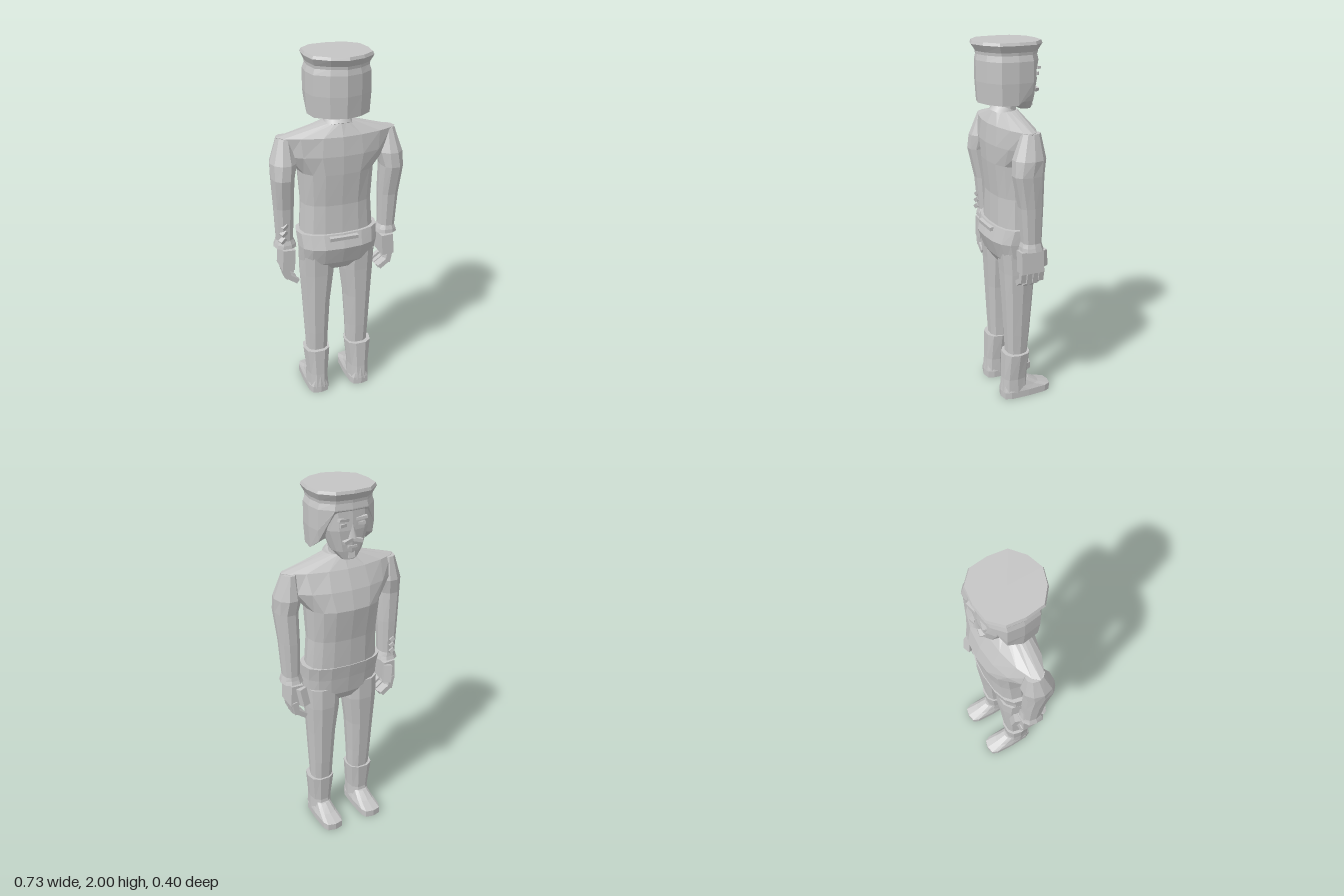
import * as THREE from 'three';

const grey = new THREE.MeshStandardMaterial({ color: 0xc4c4c4 });
grey.name = 'plain grey';

// Closed faceted skin through rings of [x, y, z] points, listed from bottom to top
function skin(rings) {
  const pos = [];
  const tri = (...pts) => pts.forEach(p => pos.push(...p));
  const n = rings[0].length;
  const middle = ring => [0, 1, 2].map(k => ring.reduce((s, p) => s + p[k], 0) / n);
  for (let i = 0; i < n; i++) {
    const k = (i + 1) % n;
    for (let j = 0; j < rings.length - 1; j++) {
      const a = rings[j][i], b = rings[j][k], c = rings[j + 1][k], d = rings[j + 1][i];
      tri(a, d, b);
      tri(b, d, c);
    }
    const low = rings[0], top = rings[rings.length - 1];
    tri(middle(low), low[i], low[k]);
    tri(middle(top), top[k], top[i]);
  }
  const g = new THREE.BufferGeometry();
  g.setAttribute('position', new THREE.Float32BufferAttribute(pos, 3));
  g.computeVertexNormals();
  return g;
}

// Rounded section: y, centre x, half width, front z, back z, squareness (1 = ellipse, less = boxier)
function section([y, cx, w, zf, zb, p = 0.8], n) {
  const bend = v => Math.abs(v) < 1e-6 ? 0 : Math.sign(v) * Math.abs(v) ** p;
  return Array.from({ length: n }, (_, i) => {
    const a = i / n * Math.PI * 2;
    return [cx + w * bend(Math.cos(a)), y, (zf + zb) / 2 + (zb - zf) / 2 * bend(Math.sin(a))];
  });
}
const loft = (rows, n = 12) => skin(rows.map(r => section(r, n)));

// Outline of the cap seen from above, starting at +x and turning towards +z
const half = [[0.17, 0.01], [0.157, 0.11], [0.085, 0.17], [0, 0.197]];
const frontHalf = [[0, -0.16], [0.095, -0.148], [0.16, -0.085]];
const mirrorX = pts => pts.map(([x, z]) => [-x, z]);
const outline = [...half, ...mirrorX(half.slice(0, 3)).reverse(),
  ...mirrorX(frontHalf.slice(1)).reverse(), ...frontHalf];
const headRing = (y, sx, sz) => outline.map(([x, z]) => [x * sx, typeof y === 'function' ? y(z) : y, z * sz]);

export function createModel() {
  const model = new THREE.Group();
  model.name = 'standingFigure';
  const add = (name, geo, parent = model) => {
    const m = new THREE.Mesh(geo, grey);
    m.name = name;
    parent.add(m);
    return m;
  };
  const box = (name, size, at, rot = [0, 0, 0], parent = model) => {
    const m = add(name, new THREE.BoxGeometry(...size), parent);
    m.position.set(...at);
    m.rotation.set(...rot);
    return m;
  };

  // Torso and hips
  add('torso', loft([
    [1.035, 0, 0.205, -0.125, 0.105], [1.2, 0, 0.195, -0.135, 0.1], [1.38, 0, 0.205, -0.165, 0.12],
    [1.48, 0, 0.29, -0.14, 0.125, 1], [1.58, 0, 0.325, -0.095, 0.115, 1.2], [1.645, 0, 0.075, -0.05, 0.08, 1],
  ], 16));
  add('hips', loft([
    [0.81, 0, 0.18, -0.07, 0.07], [0.86, 0, 0.212, -0.1, 0.105], [0.96, 0, 0.222, -0.115, 0.142],
    [1.04, 0, 0.228, -0.13, 0.118],
  ], 16));
  box('backPocketFlap', [0.16, 0.02, 0.03], [0, 1.02, 0.122], [0.15, 0, 0]);

  // Neck with a tilted collar
  add('neck', loft([[1.56, 0, 0.06, -0.045, 0.06], [1.72, 0, 0.055, -0.04, 0.055]], 8));
  const collar = add('collar', new THREE.CylinderGeometry(0.07, 0.085, 0.04, 10));
  collar.position.set(0, 1.635, 0.015);
  collar.rotation.x = -0.4;

  for (const s of [1, -1]) {
    const side = s > 0 ? 'left' : 'right';
    // Leg, boot and shoe
    add(side + 'Leg', loft([
      [0.24, s * 0.122, 0.06, -0.055, 0.06], [0.4, s * 0.123, 0.067, -0.07, 0.07],
      [0.6, s * 0.122, 0.078, -0.085, 0.08], [0.78, s * 0.116, 0.095, -0.1, 0.09],
      [0.9, s * 0.116, 0.098, -0.1, 0.1],
    ], 10));
    add(side + 'Boot', loft([
      [0.03, s * 0.127, 0.062, -0.07, 0.098], [0.12, s * 0.127, 0.06, -0.055, 0.09],
      [0.282, s * 0.127, 0.077, -0.07, 0.085],
    ], 10));
    add(side + 'Shoe', loft([
      [0, s * 0.127, 0.063, -0.2, 0.098, 0.5], [0.04, s * 0.127, 0.063, -0.2, 0.098, 0.5],
      [0.065, s * 0.127, 0.054, -0.13, 0.095, 0.6], [0.1, s * 0.127, 0.045, -0.07, 0.09],
    ]));
    // Sleeve and cuff
    add(side + 'Sleeve', loft([
      [0.98, s * 0.295, 0.045, -0.055, 0.048], [1.2, s * 0.297, 0.054, -0.06, 0.068],
      [1.37, s * 0.303, 0.06, -0.06, 0.105], [1.45, s * 0.293, 0.073, -0.075, 0.1, 1],
      [1.578, s * 0.285, 0.038, -0.05, 0.05, 1],
    ], 10));
    add(side + 'Cuff', loft([
      [0.965, s * 0.293, 0.062, -0.067, 0.06], [0.985, s * 0.293, 0.056, -0.06, 0.058],
      [1.01, s * 0.294, 0.046, -0.055, 0.05],
    ], 10));
    // Hand with curled fingers and a thumb
    const hand = new THREE.Group();
    hand.name = side + 'Hand';
    model.add(hand);
    box('palm', [0.068, 0.12, 0.125], [s * 0.288, 0.895, -0.003], [0, 0, s * 0.06], hand);
    for (let i = 0; i < 4; i++) {
      const z = 0.045 - i * 0.034, drop = i === 0 || i === 3 ? 0.01 : 0;
      box('fingerBase', [0.03, 0.075, 0.029], [s * 0.298, 0.81 + drop, z], [0, 0, -s * 0.2], hand);
      box('fingerTip', [0.027, 0.065, 0.027], [s * 0.266, 0.766 + drop, z], [0, 0, -s * 0.95], hand);
    }
    box('thumb', [0.045, 0.1, 0.035], [s * 0.262, 0.895, -0.083], [0.2, s * 0.3, -s * 0.15], hand);
  }

  // Small buckled band on the right forearm
  for (let i = 0; i < 3; i++) {
    box('forearmBuckle', [0.035, 0.022, 0.025], [-0.318 + i * 0.007, 1.02 + i * 0.04, 0.05], [0.2, 0.4, 0.6]);
    box('forearmStrap', [0.03, 0.02, 0.03], [-0.3, 1.02 + i * 0.035, -0.052], [0.2, 0, -0.5]);
  }

  // Hair: hangs low at the back and sides, lifted over the face
  const hem = z => z < -0.12 ? 1.89 : z < -0.05 ? 1.745 : 1.69;
  add('hair', skin([
    headRing(hem, 0.94, 0.84), headRing(z => Math.max(1.8, hem(z) + 0.01), 0.98, 0.88),
    headRing(1.905, 0.97, 0.88), headRing(1.94, 0.9, 0.84),
  ]));

  // Cap with a flared flat crown
  add('cap', skin([
    headRing(1.935, 0.91, 0.87), headRing(1.95, 0.92, 0.88), headRing(1.985, 1.02, 1.01), headRing(2, 0.98, 0.98),
  ]));

  // Face on the -z side
  const face = new THREE.Group();
  face.name = 'face';
  model.add(face);
  add('faceShape', loft([
    [1.645, 0, 0.04, -0.128, -0.06], [1.69, 0, 0.08, -0.135, 0], [1.8, 0, 0.122, -0.145, 0.05],
    [1.91, 0, 0.13, -0.137, 0.05],
  ]), face);
  const nose = add('nose', new THREE.ConeGeometry(0.025, 0.075, 4), face);
  nose.position.set(0, 1.8, -0.142);
  for (const s of [1, -1]) {
    box('brow', [0.06, 0.014, 0.02], [s * 0.05, 1.855, -0.137], [0, s * 0.25, s * 0.15], face);
    box('eye', [0.04, 0.016, 0.012], [s * 0.05, 1.828, -0.137], [0, s * 0.25, 0], face);
    box('moustacheHalf', [0.055, 0.018, 0.024], [s * 0.026, 1.748, -0.14], [0, s * 0.2, -s * 0.25], face);
  }
  box('lowerLip', [0.05, 0.012, 0.02], [0, 1.715, -0.134], [0, 0, 0], face);
  box('chinTuft', [0.035, 0.035, 0.02], [0, 1.67, -0.125], [0.2, 0, 0], face);

  return model;
}
